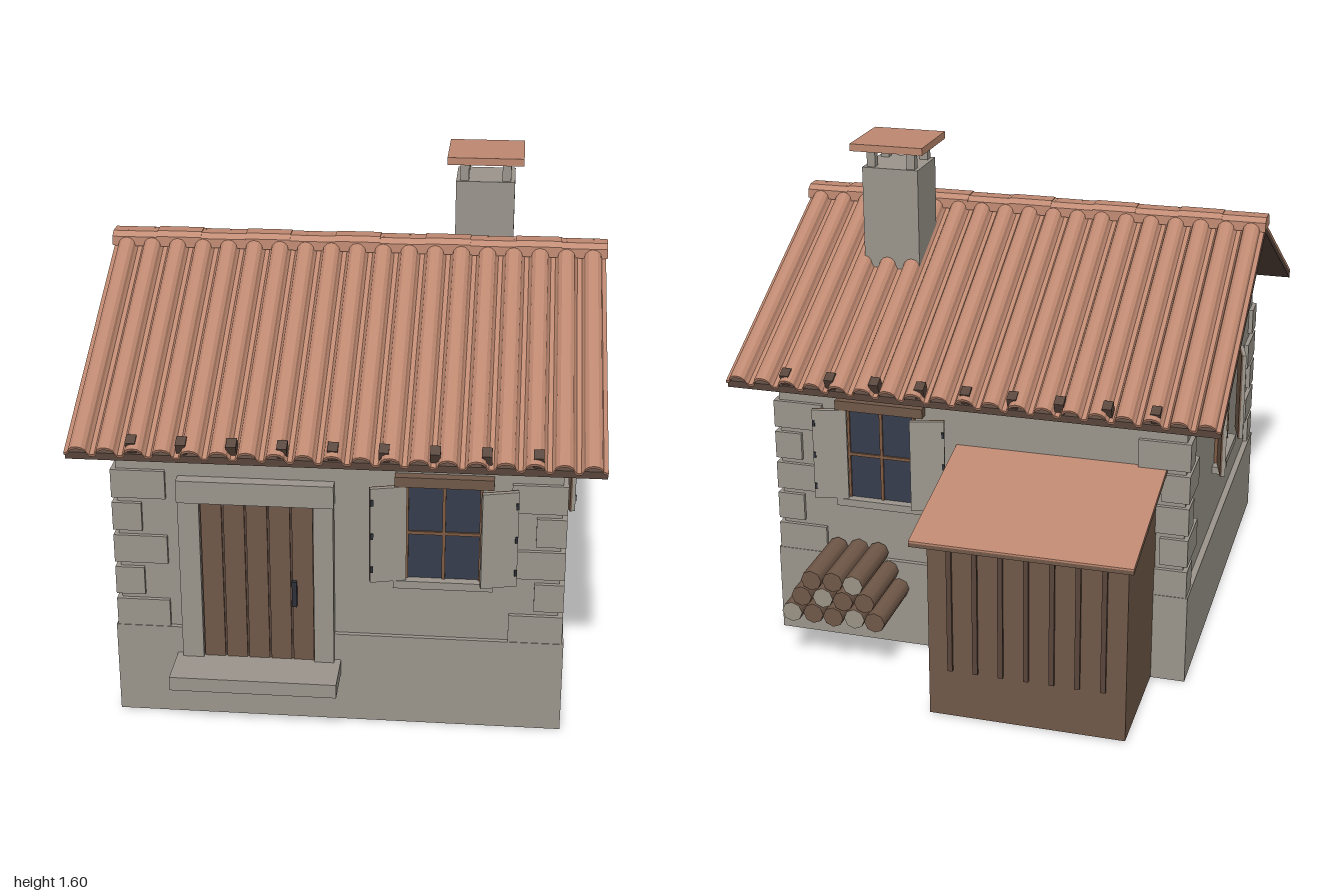
import * as THREE from 'three';

const mat = (name, color) => Object.assign(new THREE.MeshStandardMaterial({ color }), { name });
const M = {
  stone: mat('stone', 0x9a948b),
  shutter: mat('weathered shutter', 0x9c978d),
  tile: mat('terracotta', 0xbe8870),
  wood: mat('wood', 0x705848),
  dark: mat('dark wood', 0x57443a),
  trim: mat('window bar wood', 0x7d5a42),
  glass: mat('window glass', 0x363c4c),
  iron: mat('iron', 0x2e3038),
  cut: mat('cut log end', 0x9a9284),
};

const MID = 0.157;                    // z of the ridge
const SLOPE = Math.atan(0.511);       // roof pitch

function add(parent, name, geometry, material, x = 0, y = 0, z = 0) {
  const mesh = new THREE.Mesh(geometry, material);
  mesh.name = name;
  mesh.position.set(x, y, z);
  parent.add(mesh);
  return mesh;
}

// Box given by its minimum and maximum on each axis
function box(parent, name, material, x0, x1, y0, y1, z0, z1) {
  return add(parent, name, new THREE.BoxGeometry(x1 - x0, y1 - y0, z1 - z0), material,
    (x0 + x1) / 2, (y0 + y1) / 2, (z0 + z1) / 2);
}

function group(parent, name, x = 0, y = 0, z = 0, ry = 0) {
  const g = new THREE.Group();
  g.name = name;
  g.position.set(x, y, z);
  g.rotation.y = ry;
  parent.add(g);
  return g;
}

// Outline of [z, y] points extruded along x, centred on x = 0
function prism(points, width) {
  const shape = new THREE.Shape(points.map(([z, y]) => new THREE.Vector2(z, y)));
  const g = new THREE.ExtrudeGeometry(shape, { depth: width, bevelEnabled: false });
  return g.translate(0, 0, -width / 2).rotateY(-Math.PI / 2);
}

// Wavy row of cover tiles and channels, running along +z
function tileSheet(length) {
  const n = 19, pitch = 1.58 / n, top = [];
  for (let i = 0; i < n; i++) {
    const c = -0.79 + (i + 0.5) * pitch;
    for (let k = 0; k <= 6; k++) {
      const a = Math.PI * (1 - k / 6);
      top.push(new THREE.Vector2(c + 0.028 * Math.cos(a), 0.004 + 0.024 * Math.sin(a)));
    }
    if (i < n - 1) {
      top.push(new THREE.Vector2(c + pitch / 2 - 0.007, -0.006));
      top.push(new THREE.Vector2(c + pitch / 2 + 0.007, -0.006));
    }
  }
  top.unshift(new THREE.Vector2(-0.79, -0.002));
  top.push(new THREE.Vector2(0.79, -0.002));
  const under = top.map(p => new THREE.Vector2(p.x, p.y - 0.01)).reverse();
  return new THREE.ExtrudeGeometry(new THREE.Shape([...top, ...under]), { depth: length, bevelEnabled: false });
}

function addWindow(parent, name, x, y, z, ry) {
  const w = group(parent, name, x, y, z, ry);
  box(w, 'glass', M.glass, -0.11, 0.11, 0.505, 0.815, -0.01, 0.006);
  box(w, 'uprightBar', M.trim, -0.005, 0.005, 0.505, 0.815, 0, 0.012);
  box(w, 'crossBar', M.trim, -0.11, 0.11, 0.652, 0.662, 0, 0.012);
  for (const s of [-1, 1]) {
    box(w, 'sideBar', M.trim, s * 0.11 - 0.004, s * 0.11 + 0.004, 0.505, 0.815, 0, 0.012);
  }
  box(w, 'lintel', M.wood, -0.147, 0.147, 0.815, 0.847, -0.01, 0.032);
  box(w, 'sill', M.stone, -0.15, 0.15, 0.48, 0.505, -0.01, 0.035);
  // Both shutters are turned the same way, with a wooden back
  for (const s of [-1, 1]) {
    const sh = group(w, 'shutter', s * 0.166, 0.66, s < 0 ? 0.033 : 0.042, 0.25);
    box(sh, 'shutterFront', M.shutter, -0.055, 0.055, -0.155, 0.155, -0.003, 0.008);
    box(sh, 'shutterBack', M.wood, -0.055, 0.055, -0.155, 0.155, -0.009, -0.003);
    for (const h of [-0.11, 0, 0.11]) {
      box(sh, 'hinge', M.iron, s * 0.05 - 0.004, s * 0.05 + 0.004, h - 0.01, h + 0.01, 0, 0.012);
    }
  }
}

export function createModel() {
  const house = new THREE.Group();
  house.name = 'stoneCottage';

  // Plinth and gabled walls
  box(house, 'plinth', M.stone, -0.69, 0.69, 0, 0.3, -0.53, 0.85);
  add(house, 'walls', prism([[-0.515, 0.28], [0.835, 0.28], [0.835, 0.965], [MID, 1.315], [-0.515, 0.965]], 1.34), M.stone);

  // Corner stones, long and short sides alternating
  for (const sx of [-1, 1]) for (const sz of [-1, 1]) {
    const corner = group(house, 'cornerStones', sx * 0.685, 0, sz > 0 ? 0.848 : -0.528);
    for (let i = 0; i < 5; i++) {
      const w = i % 2 ? 0.09 : 0.165, d = i % 2 ? 0.17 : 0.09;
      add(corner, 'cornerStone', new THREE.BoxGeometry(w, 0.092, d), M.stone,
        -sx * w / 2, 0.345 + i * 0.109, -sz * d / 2);
    }
  }

  // Roof boards and tiled slopes
  const e = 0.793, drop = e * 0.511;
  add(house, 'roofBoards', prism([
    [MID + e, 1.31 - drop], [MID + e, 1.332 - drop], [MID, 1.332],
    [MID - e, 1.332 - drop], [MID - e, 1.31 - drop], [MID, 1.31]], 1.58), M.dark);
  const sheet = tileSheet(0.908);
  for (const ry of [0, Math.PI]) {
    const side = group(house, 'roofSlope', 0, 1.345, MID, ry);
    add(side, 'tiles', sheet, M.tile).rotation.x = SLOPE;
    for (let i = -4; i <= 4; i++) {
      add(side, 'rafterEnd', new THREE.BoxGeometry(0.03, 0.045, 0.035), M.dark,
        i * 0.148, -0.39, 0.782).rotation.x = SLOPE;
    }
  }

  // Ridge tiles
  for (let i = 0; i < 11; i++) {
    const lift = (i % 2) * 0.003;
    add(house, 'ridgeTile', prism([
      [MID - 0.047, 1.325], [MID + 0.047, 1.325], [MID + 0.045, 1.355 + lift],
      [MID + 0.025, 1.369 + lift], [MID - 0.025, 1.369 + lift], [MID - 0.045, 1.355 + lift]], 0.1445),
      M.tile, (i - 5) * 0.1445);
  }

  // Chimney
  box(house, 'chimneyStack', M.stone, 0.305, 0.495, 1.1, 1.52, -0.15, 0.035);
  for (const x of [0.332, 0.468]) for (const z of [-0.125, 0.01]) {
    box(house, 'chimneyPost', M.stone, x - 0.014, x + 0.014, 1.52, 1.58, z - 0.014, z + 0.014);
  }
  box(house, 'chimneyCap', M.tile, 0.277, 0.523, 1.58, 1.604, -0.185, 0.06);

  // Door with stone surround and step
  const door = group(house, 'door');
  box(door, 'jambLeft', M.stone, -0.07, -0.01, 0.21, 0.74, 0.8, 0.87);
  box(door, 'jambRight', M.stone, -0.48, -0.415, 0.21, 0.74, 0.8, 0.87);
  box(door, 'doorLintel', M.stone, -0.482, -0.008, 0.738, 0.81, 0.8, 0.875);
  box(door, 'doorBack', M.dark, -0.415, -0.07, 0.21, 0.738, 0.82, 0.852);
  for (let i = 0; i < 5; i++) {
    const x = -0.415 + i * 0.069;
    box(door, 'doorPlank', M.wood, x + 0.003, x + 0.066, 0.21, 0.735, 0.84, 0.858);
  }
  box(door, 'doorHandle', M.iron, -0.137, -0.122, 0.4, 0.485, 0.855, 0.872);
  box(door, 'doorStep', M.stone, -0.5, 0.01, 0.165, 0.21, 0.84, 1.0);

  // Windows on all four walls
  addWindow(house, 'frontWindow', 0.32, 0, 0.835, 0);
  addWindow(house, 'backWindow', 0.32, 0.01, -0.515, Math.PI);
  addWindow(house, 'leftWindow', 0.67, 0.015, 0.155, Math.PI / 2);
  addWindow(house, 'rightWindow', -0.67, 0.015, 0.155, -Math.PI / 2);

  // Lean-to shed behind the house
  const shed = group(house, 'shed');
  box(shed, 'shedBody', M.wood, -0.58, 0.04, 0.003, 0.64, -0.92, -0.5);
  for (let i = 0; i < 7; i++) {
    const x = -0.51 + i * 0.08;
    box(shed, 'shedBatten', M.dark, x - 0.008, x + 0.008, 0.165, 0.6, -0.93, -0.915);
  }
  add(shed, 'shedRoofBoards', prism([[-1.0, 0.612], [-0.515, 0.718], [-0.515, 0.731], [-1.0, 0.625]], 0.68), M.wood, -0.27);
  add(shed, 'shedRoofCover', prism([[-1.0, 0.625], [-0.515, 0.731], [-0.515, 0.737], [-1.0, 0.631]], 0.68), M.tile, -0.27);

  // Stacked firewood
  const pile = group(house, 'firewood');
  const log = new THREE.CylinderGeometry(0.034, 0.034, 0.25, 8).rotateX(Math.PI / 2);
  for (let row = 0; row < 3; row++) for (let i = 0; i < 5 - row; i++) {
    const pale = (row * 2 + i) % 3 === 1 ? M.cut : M.wood;
    add(pile, 'log', log, [M.wood, pale, pale],
      0.27 + (i + row / 2) * 0.07, 0.204 + row * 0.061, -0.65 + ((i + row) % 2) * 0.006);
  }
  return house;
}
